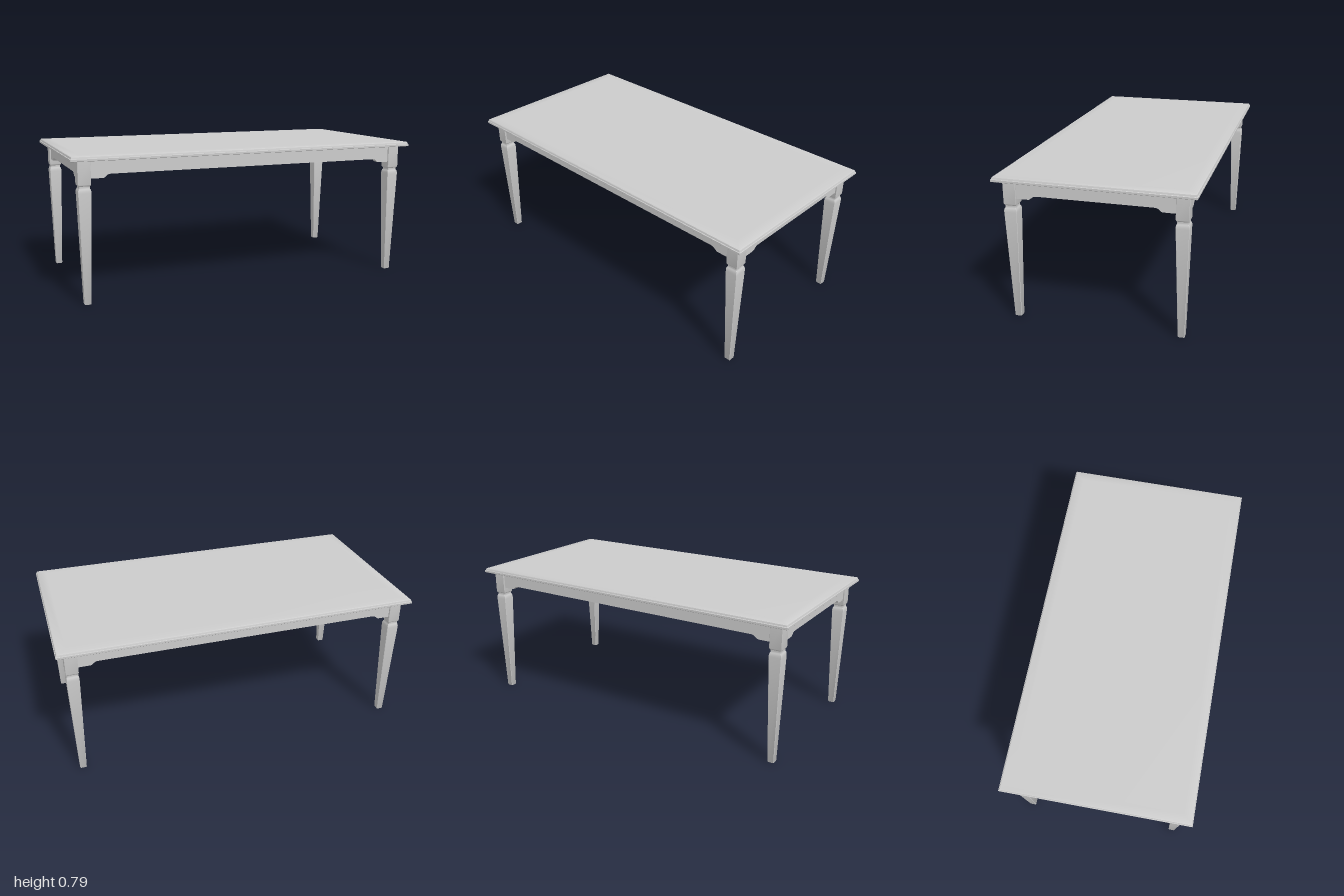
import * as THREE from 'three';
import { toCreasedNormals } from 'three/addons/utils/BufferGeometryUtils.js';

const material = new THREE.MeshStandardMaterial({ color: 0xcccccc });

// Closed loft through chamfered rectangles: each section is [y, halfX, halfZ, chamfer]
function loft(sections) {
  const pos = [], index = [], n = 8;
  for (const [y, hx, hz, c] of sections) {
    for (const [x, z] of [
      [hx - c, hz], [hx, hz - c], [hx, c - hz], [hx - c, -hz],
      [c - hx, -hz], [-hx, c - hz], [-hx, hz - c], [c - hx, hz],
    ]) pos.push(x, y, z);
  }
  const last = (sections.length - 1) * n;
  for (let s = 0; s < last; s += n) {
    for (let i = 0; i < n; i++) {
      const j = (i + 1) % n;
      index.push(s + i, s + j, s + n + j, s + i, s + n + j, s + n + i);
    }
  }
  for (let i = 1; i < n - 1; i++) {
    index.push(0, i + 1, i, last, last + i, last + i + 1);
  }
  const geometry = new THREE.BufferGeometry();
  geometry.setAttribute('position', new THREE.Float32BufferAttribute(pos, 3));
  geometry.setIndex(index);
  return toCreasedNormals(geometry, 0.5);
}

// Board with deeper ends and curved shoulders, running along x and centred on z
function apronGeometry(half, thickness) {
  const top = 0.758, low = 0.664, mid = 0.684;
  const s = new THREE.Shape();
  s.moveTo(-half, top);
  s.lineTo(-half, low);
  s.lineTo(-half + 0.063, low);
  s.bezierCurveTo(-half + 0.078, low, -half + 0.082, mid, -half + 0.105, mid);
  s.lineTo(half - 0.105, mid);
  s.bezierCurveTo(half - 0.082, mid, half - 0.078, low, half - 0.063, low);
  s.lineTo(half, low);
  s.lineTo(half, top);
  s.closePath();
  const geometry = new THREE.ExtrudeGeometry(s, { depth: thickness, bevelEnabled: false, curveSegments: 8 });
  return geometry.translate(0, 0, -thickness / 2);
}

export function createModel() {
  const group = new THREE.Group();
  const add = (name, geometry, x = 0, z = 0, turn = 0) => {
    const mesh = new THREE.Mesh(geometry, material);
    mesh.name = name;
    mesh.position.set(x, 0, z);
    mesh.rotation.y = turn;
    group.add(mesh);
  };

  // Table top with a stepped, rounded edge
  const topEdge = [
    [0.758, 0.002], [0.76, 0], [0.77, 0], [0.772, 0.003], [0.776, 0.004],
    [0.781, 0.006], [0.784, 0.01], [0.785, 0.06],
  ];
  add('tableTop', loft(topEdge.map(([y, inset]) => [y, 1 - inset, 0.516 - inset, 0.001])));

  // Square legs: tapered shaft, turned-in neck and upper block
  const legProfile = [
    [0, 0.016], [0.004, 0.018], [0.59, 0.034], [0.602, 0.0335], [0.61, 0.031],
    [0.615, 0.028], [0.62, 0.0275], [0.626, 0.028], [0.629, 0.031], [0.634, 0.0335],
    [0.64, 0.034], [0.758, 0.034],
  ];
  const leg = loft(legProfile.map(([y, h]) => [y, h, h, 0.002]));
  const legX = 0.925, legZ = 0.439;
  for (const sx of [-1, 1]) for (const sz of [-1, 1]) {
    add(`${sz > 0 ? 'front' : 'back'}${sx > 0 ? 'Left' : 'Right'}Leg`, leg, sx * legX, sz * legZ);
  }

  // Aprons between the legs, set slightly behind the leg faces
  const thickness = 0.03, offset = 0.01;
  const longApron = apronGeometry(legX - 0.033, thickness);
  const shortApron = apronGeometry(legZ - 0.033, thickness);
  for (const s of [-1, 1]) {
    add(s > 0 ? 'frontApron' : 'backApron', longApron, 0, s * (legZ + offset));
    add(s > 0 ? 'leftApron' : 'rightApron', shortApron, s * (legX + offset), 0, Math.PI / 2);
  }
  return group;
}
